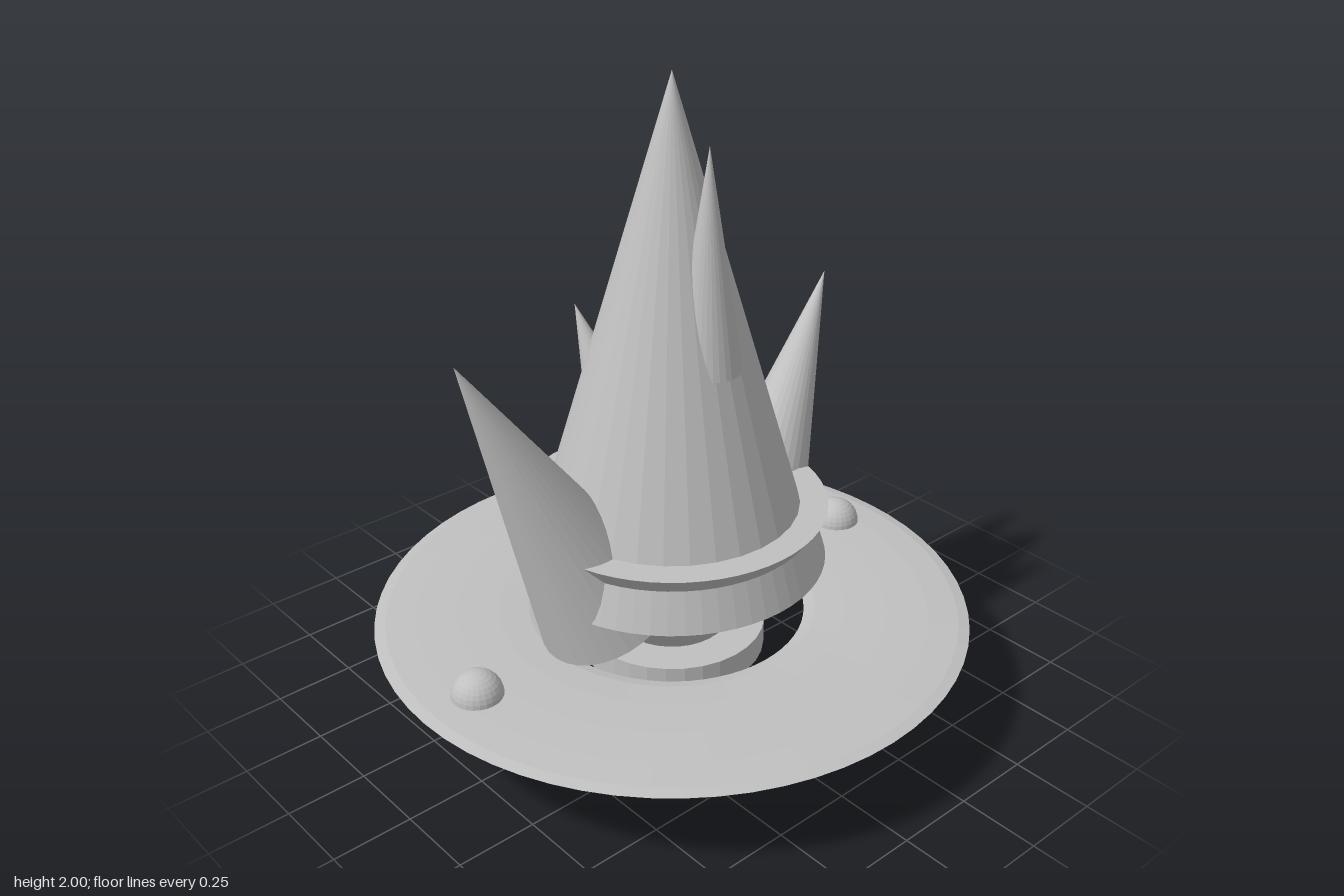
import * as THREE from 'three';

export function createModel() {
  const model = new THREE.Group();
  const grey = new THREE.MeshStandardMaterial({ color: 0xc0c0c0, flatShading: true, side: THREE.DoubleSide });
  grey.name = 'plain grey';

  const add = (name, geometry, x = 0, y = 0, z = 0) => {
    const mesh = new THREE.Mesh(geometry, grey);
    mesh.name = name;
    mesh.position.set(x, y, z);
    model.add(mesh);
    return mesh;
  };
  const points = (list) => list.map(([r, y]) => new THREE.Vector2(r, y));

  // Cone placed by its base centre and its tip
  const spike = (name, radius, base, tip) => {
    const a = new THREE.Vector3(...base);
    const b = new THREE.Vector3(...tip);
    const axis = b.clone().sub(a);
    const mesh = add(name, new THREE.ConeGeometry(radius, axis.length(), 32));
    mesh.position.copy(a).add(b).multiplyScalar(0.5);
    mesh.quaternion.setFromUnitVectors(new THREE.Vector3(0, 1, 0), axis.normalize());
  };

  // Double cone body: short point below, tall point above
  add('body', new THREE.LatheGeometry(points([[0, 0], [0.413, 0.6], [0, 2]]), 32));

  // Disc around the lower point
  add('lowerDisc', new THREE.CylinderGeometry(0.291, 0.291, 0.085, 32), 0, 0.212, 0);

  // Wide flattened ring with a hole in the middle
  const ring = add('flatRing', new THREE.TorusGeometry(0.67, 0.256, 12, 64), 0, 0.3, 0);
  ring.rotation.x = -Math.PI / 2;
  ring.scale.z = 0.06;

  // Spheres set into the ring
  for (const [name, side] of [['leftSphere', 1], ['rightSphere', -1]]) {
    add(name, new THREE.SphereGeometry(0.078, 24, 16), side * 0.744, 0.312, 0);
  }

  // Notched collar in two arcs, open at the side spikes
  const profile = [[0.33, 0.5], [0.473, 0.5], [0.435, 0.625], [0.475, 0.68], [0.36, 0.68], [0.33, 0.5]];
  const half = THREE.MathUtils.degToRad(73.5);
  const section = new THREE.ShapeGeometry(new THREE.Shape(points(profile)));
  for (const [name, middle] of [['frontCollar', 0], ['backCollar', Math.PI]]) {
    add(name, new THREE.LatheGeometry(points(profile), 24, middle - half, 2 * half));
    for (const end of [-half, half]) {
      add(name + 'End', section).rotation.y = middle + end - Math.PI / 2;
    }
  }

  // Spikes leaning out of the body, and one upright on the front
  spike('rightSpike', 0.217, [-0.28, 0.416, 0.02], [-0.71, 1.317, -0.065]);
  spike('leftSpike', 0.188, [0.295, 0.428, 0.02], [0.706, 1.217, -0.066]);
  spike('backSpike', 0.2, [0.13, 0.397, -0.214], [0.055, 1.138, -0.528]);
  spike('frontSpike', 0.102, [0, 1.17, 0.153], [0, 1.825, 0.153]);

  return model;
}
